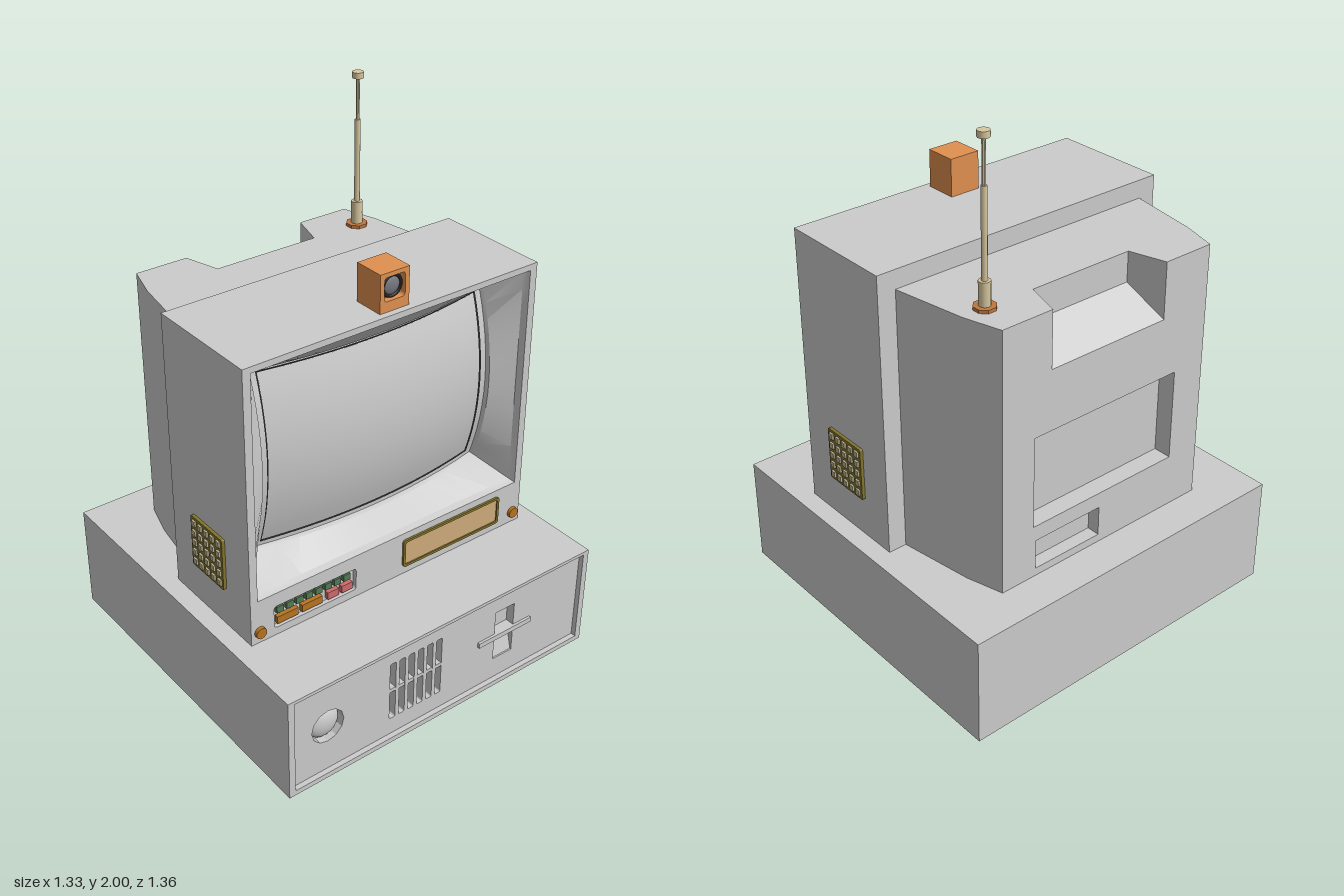
import * as THREE from 'three';
import { toCreasedNormals } from 'three/addons/utils/BufferGeometryUtils.js';

const GREY = 0xcccccc, OLIVE = 0x83742c, TAN = 0xd8c8a0, ORANGE = 0xe09050, AMBER = 0xb87422, DARK = 0x222222;

function add(parent, name, geo, color = GREY, side = THREE.FrontSide) {
  const mesh = new THREE.Mesh(geo, new THREE.MeshStandardMaterial({ color, side }));
  mesh.name = name;
  parent.add(mesh);
  return mesh;
}

// Box given by its min and max corners
function box(parent, name, [x0, y0, z0], [x1, y1, z1], color) {
  const geo = new THREE.BoxGeometry(x1 - x0, y1 - y0, z1 - z0);
  geo.translate((x0 + x1) / 2, (y0 + y1) / 2, (z0 + z1) / 2);
  return add(parent, name, geo, color);
}

// Rectangle outline with optional rounded corners
function rect(x0, y0, x1, y1, r = 0) {
  const s = new THREE.Shape();
  if (!r) return s.setFromPoints([[x0, y0], [x1, y0], [x1, y1], [x0, y1]].map(p => new THREE.Vector2(...p)));
  s.absarc(x1 - r, y0 + r, r, -Math.PI / 2, 0);
  s.absarc(x1 - r, y1 - r, r, 0, Math.PI / 2);
  s.absarc(x0 + r, y1 - r, r, Math.PI / 2, Math.PI);
  s.absarc(x0 + r, y0 + r, r, Math.PI, Math.PI * 1.5);
  return s;
}

// Outline with holes, extruded from z0 to z1
function slab(shape, holes, z0, z1) {
  shape.holes.push(...holes);
  return new THREE.ExtrudeGeometry(shape, { depth: z1 - z0, bevelEnabled: false, curveSegments: 6 }).translate(0, 0, z0);
}

// Bulge of the picture tube
const dome = (x, y) => 0.31 - 0.22 * x * x - 0.5 * (y - 1.03) ** 2;

// Nested rectangular rings {w, y0, y1, z(x, y)} joined into a funnel facing +z
function funnel(rings, n = 12) {
  const pos = [], idx = [], count = 4 * n;
  for (const { w, y0, y1, z } of rings) {
    const c = [[w, y0], [w, y1], [-w, y1], [-w, y0]];
    for (let i = 0; i < count; i++) {
      const a = c[Math.floor(i / n)], b = c[(Math.floor(i / n) + 1) % 4], t = (i % n) / n;
      const x = a[0] + (b[0] - a[0]) * t, y = a[1] + (b[1] - a[1]) * t;
      pos.push(x, y, z(x, y));
    }
  }
  for (let r = 0; r < rings.length - 1; r++) for (let i = 0; i < count; i++) {
    const a = r * count + i, b = r * count + (i + 1) % count;
    idx.push(a, b, a + count, b, b + count, a + count);
  }
  const geo = new THREE.BufferGeometry();
  geo.setAttribute('position', new THREE.Float32BufferAttribute(pos, 3));
  geo.setIndex(idx);
  return toCreasedNormals(geo, 0.4);
}

function buildBase(g) {
  box(g, 'baseCase', [-0.68, 0, -0.665], [0.68, 0.415, 0.61]);
  add(g, 'baseFrame', slab(rect(-0.68, 0, 0.68, 0.415), [rect(-0.655, 0.02, 0.655, 0.402)], 0.61, 0.665));
  // Front plate with round button, vent slots and disk slot cut out
  const slots = [];
  for (let i = 0; i < 6; i++) slots.push(-0.226 + i * 0.0412);
  const round = new THREE.Path().absarc(-0.505, 0.21, 0.067, 0, Math.PI * 2);
  const plate = slab(rect(-0.655, 0.02, 0.655, 0.402),
    [round, rect(0.245, 0.108, 0.335, 0.32), ...slots.map(x => rect(x - 0.013, 0.09, x + 0.013, 0.335, 0.006))], 0.61, 0.645);
  add(g, 'basePlate', plate);
  const button = add(g, 'powerButton', new THREE.SphereGeometry(0.064, 24, 16));
  button.scale.z = 0.5;
  button.position.set(-0.505, 0.21, 0.61);
  slots.forEach(x => box(g, 'ventBridge', [x - 0.013, 0.207, 0.61], [x + 0.013, 0.222, 0.643]));
  box(g, 'diskLever', [0.165, 0.204, 0.61], [0.415, 0.224, 0.655]);
  const ramp = add(g, 'diskRamp', new THREE.BoxGeometry(0.09, 0.11, 0.01));
  ramp.position.set(0.29, 0.155, 0.622);
  ramp.rotation.x = -0.25;
}

function buildMonitor(g) {
  box(g, 'monitorCase', [-0.61, 0.415, -0.1], [0.61, 1.485, 0.12]);
  add(g, 'monitorFront', slab(rect(-0.61, 0.415, 0.61, 1.485),
    [rect(-0.58, 0.59, 0.58, 1.462), rect(-0.515, 0.445, -0.165, 0.535, 0.012)], 0.12, 0.36));
  // Bezel, dark seam and bulging screen
  const ring = (w, y0, y1, z) => ({ w, y0, y1, z });
  add(g, 'screenBezel', funnel([
    ring(0.58, 0.59, 1.462, () => 0.36), ring(0.572, 0.598, 1.454, () => 0.335),
    ring(0.492, 0.678, 1.376, (x, y) => dome(x, y) + 0.025), ring(0.487, 0.683, 1.371, (x, y) => dome(x, y) + 0.008),
    ring(0.464, 0.697, 1.362, (x, y) => dome(x, y) + 0.004)]), GREY, THREE.DoubleSide);
  add(g, 'screenSeam', funnel([ring(0.464, 0.697, 1.362, (x, y) => dome(x, y) + 0.004),
    ring(0.457, 0.704, 1.355, dome)]), DARK, THREE.DoubleSide);
  const screen = new THREE.PlaneGeometry(0.914, 0.651, 20, 16).translate(0, 1.0295, 0);
  const p = screen.attributes.position;
  for (let i = 0; i < p.count; i++) p.setZ(i, dome(p.getX(i), p.getY(i)));
  screen.computeVertexNormals();
  add(g, 'screen', screen);

  // Control buttons in their recess
  box(g, 'buttonTray', [-0.515, 0.445, 0.12], [-0.165, 0.535, 0.342]);
  for (let i = 0; i < 8; i++) {
    const x = -0.487 + i * 0.0405;
    box(g, 'smallButton', [x - 0.014, 0.5, 0.342], [x + 0.014, 0.526, 0.358], 0x557a55);
  }
  [[-0.5, -0.413, AMBER], [-0.397, -0.31, AMBER], [-0.287, -0.24, 0xd06a6a], [-0.226, -0.18, 0xd06a6a]]
    .forEach(([x0, x1, c]) => box(g, 'largeButton', [x0, 0.455, 0.342], [x1, 0.484, 0.358], c));

  // Framed name plate and corner knobs
  add(g, 'plateFrame', slab(rect(0.043, 0.446, 0.5, 0.562, 0.012), [rect(0.053, 0.456, 0.49, 0.552, 0.008)], 0.355, 0.368), OLIVE);
  box(g, 'blankPlate', [0.05, 0.453, 0.355], [0.493, 0.555, 0.363], 0xd0ac7c);
  for (const s of [-1, 1]) {
    const knob = add(g, 'cornerKnob', new THREE.CylinderGeometry(0.021, 0.023, 0.03, 16), AMBER);
    knob.rotation.x = Math.PI / 2;
    knob.position.set(s * 0.575, 0.46, 0.358);
  }

  // Side speaker grilles
  for (const s of [-1, 1]) {
    const grille = new THREE.Group();
    grille.name = 'speakerGrille';
    const holes = [];
    for (let i = 0; i < 5; i++) for (let j = 0; j < 5; j++) {
      const x = -0.073 + i * 0.0365, y = -0.079 + j * 0.0395;
      holes.push(rect(x - 0.012, y - 0.013, x + 0.012, y + 0.013));
    }
    add(grille, 'grilleMesh', slab(rect(-0.095, -0.103, 0.095, 0.103, 0.006), holes, -0.005, 0.012), OLIVE);
    for (let i = 0; i < 5; i++) for (let j = 0; j < 5; j++) {
      const x = -0.073 + i * 0.0365, y = -0.079 + j * 0.0395;
      box(grille, 'grilleStud', [x - 0.01, y - 0.011, -0.005], [x + 0.01, y + 0.011, 0.018], 0xb8b090);
    }
    grille.position.set(s * 0.61, 0.672, 0.125);
    grille.rotation.y = s * Math.PI / 2;
    g.add(grille);
  }
}

function buildRear(g) {
  // Tapered housing behind the monitor
  const plan = new THREE.Shape([[-0.54, 0.1], [0.54, 0.1], [0.495, 0.38], [-0.495, 0.38]].map(p => new THREE.Vector2(...p)));
  add(g, 'rearHousing', slab(plan, [], 0.415, 1.415).rotateX(-Math.PI / 2));
  // Rear end with hand notch and two recesses, widened towards the front
  const end = new THREE.Shape([[-0.455, 0.415], [0.455, 0.415], [0.455, 1.415], [0.25, 1.415], [0.25, 1.2],
    [-0.25, 1.2], [-0.25, 1.415], [-0.455, 1.415]].map(p => new THREE.Vector2(...p)));
  const geo = slab(end, [rect(-0.32, 0.62, 0.32, 0.97), rect(0.02, 0.445, 0.31, 0.56)], -0.52, -0.38);
  const p = geo.attributes.position;
  for (let i = 0; i < p.count; i++) {
    if (p.getZ(i) < -0.4) continue;
    const x = p.getX(i), y = p.getY(i);
    if (Math.abs(x) > 0.45) p.setX(i, Math.sign(x) * 0.495);
    else if (y > 1.1) p.setX(i, Math.sign(x) * 0.21);
    if (Math.abs(y - 1.2) < 0.01) p.setY(i, 1.3);
  }
  geo.computeVertexNormals();
  add(g, 'rearEnd', geo);
  box(g, 'rearPanel', [-0.32, 0.62, -0.45], [0.32, 0.97, -0.38]);
  box(g, 'rearSocket', [0.02, 0.445, -0.47], [0.31, 0.56, -0.38]);
}

function buildTop(g) {
  // Camera cube with a recessed round lens
  box(g, 'cameraBody', [-0.06, 1.485, 0.215], [0.06, 1.625, 0.31], ORANGE);
  add(g, 'cameraFront', slab(rect(-0.06, 1.485, 0.06, 1.625), [rect(-0.043, 1.523, 0.043, 1.609, 0.012)], 0.31, 0.335), ORANGE);
  const rim = add(g, 'lensRim', new THREE.TorusGeometry(0.037, 0.006, 8, 24), DARK);
  rim.position.set(0, 1.566, 0.318);
  const lens = add(g, 'lens', new THREE.SphereGeometry(0.036, 20, 12), 0x777780);
  lens.scale.z = 0.4;
  lens.position.set(0, 1.566, 0.312);

  // Telescopic antenna: [radius, bottom, top, sides, color]
  [[0.04, 1.41, 1.427, 8, 0xc07840], [0.021, 1.42, 1.512, 12, TAN], [0.0105, 1.51, 1.825, 10, TAN],
    [0.007, 1.82, 1.98, 8, TAN], [0.021, 1.978, 2, 12, TAN]].forEach(([r, y0, y1, n, c]) => {
    const part = add(g, 'antennaSection', new THREE.CylinderGeometry(r, r, y1 - y0, n), c);
    part.material.flatShading = n === 8;
    part.position.set(0.405, (y0 + y1) / 2, -0.378);
    part.rotation.y = Math.PI / 8;
  });
}

export function createModel() {
  const root = new THREE.Group();
  root.name = 'desktopComputer';
  [['base', buildBase], ['monitor', buildMonitor], ['rear', buildRear], ['topParts', buildTop]].forEach(([name, build]) => {
    const g = new THREE.Group();
    g.name = name;
    build(g);
    g.rotation.y = Math.PI / 2; // screen faces +x
    root.add(g);
  });
  return root;
}
